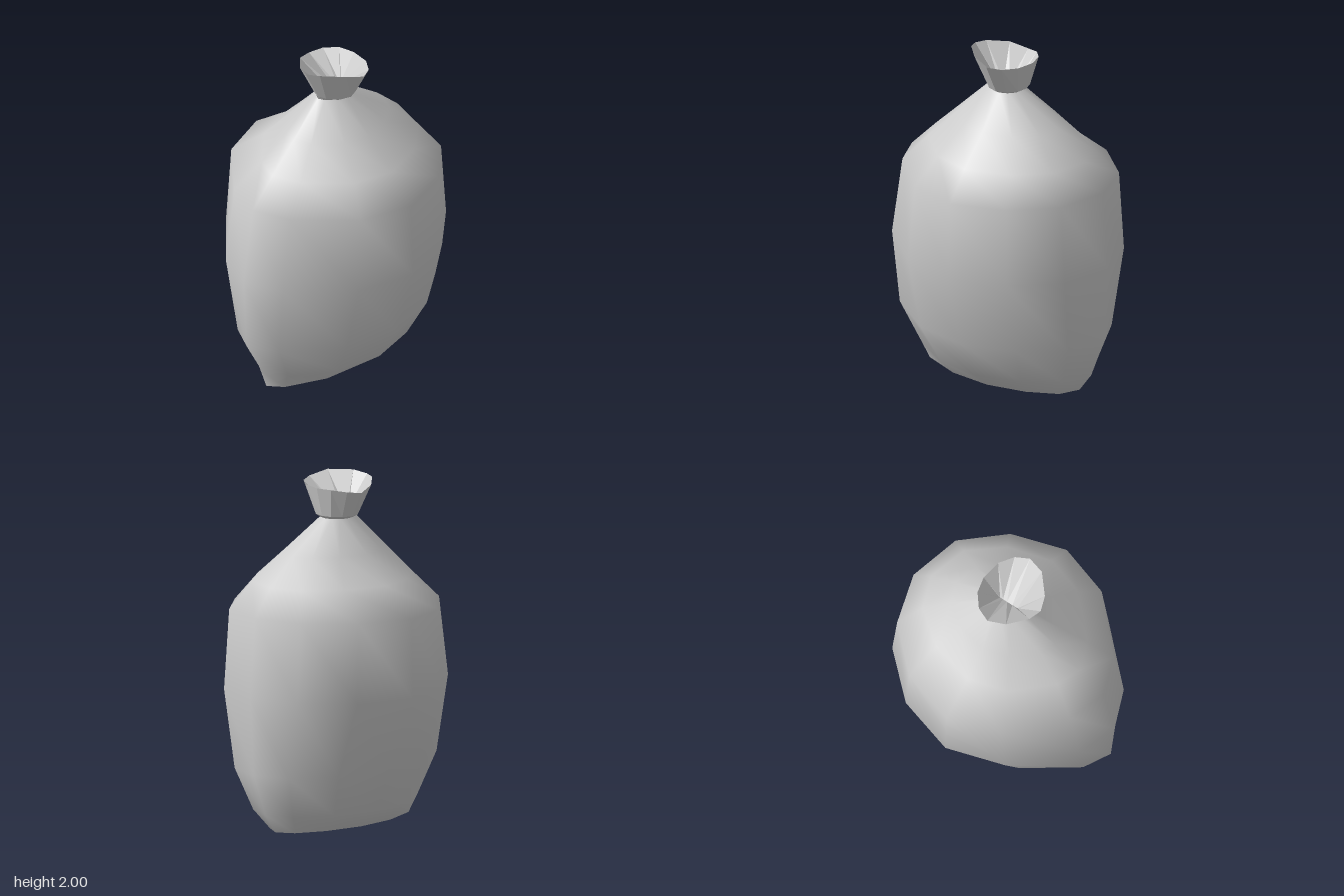
import * as THREE from 'three';

// Twelve-sided outline shared by every ring, starting at the back and passing +x, front, -x
const UX = [0, 0.5, 0.84, 1, 0.84, 0.36, 0, -0.36, -0.84, -1, -0.84, -0.47];
const UZ = [-1, -0.87, -0.5, 0, 0.46, 0.88, 1, 0.88, 0.46, 0, -0.5, -0.87];
const SIDES = UX.length;
const CZ = -0.03;

// One ring reaching from x0 to x1 and z0 to z1; y is a height or a list of heights
function ring(y, x0, x1, z0, z1) {
  return UX.map((ux, i) => [
    ux < 0 ? -ux * x0 : ux * x1,
    Array.isArray(y) ? y[i] : y,
    CZ + (UZ[i] < 0 ? -UZ[i] * (z0 - CZ) : UZ[i] * (z1 - CZ)),
  ]);
}

// Skin a stack of rings
function loft(name, rings, flat) {
  const index = [];
  for (let r = 0; r < rings.length - 1; r++) {
    for (let i = 0; i < SIDES; i++) {
      const j = (i + 1) % SIDES;
      const a = r * SIDES + i, b = r * SIDES + j;
      index.push(a, a + SIDES, b + SIDES, a, b + SIDES, b);
    }
  }
  let geometry = new THREE.BufferGeometry();
  geometry.setAttribute('position', new THREE.Float32BufferAttribute(rings.flat(2), 3));
  geometry.setIndex(index);
  if (flat) geometry = geometry.toNonIndexed();
  geometry.computeVertexNormals();
  const material = new THREE.MeshStandardMaterial({
    color: 0xcccccc, flatShading: flat, side: THREE.DoubleSide,
  });
  const mesh = new THREE.Mesh(geometry, material);
  mesh.name = name;
  return mesh;
}

export function createModel() {
  const group = new THREE.Group();
  group.name = 'tiedSack';

  // Bulging cloth body, narrow in x at the base and gathered at the neck
  const base = ring(0, -0.2, 0.23, -0.51, 0.52);
  group.add(loft('sackBody', [
    base,
    ring(0.11, -0.33, 0.36, -0.59, 0.55),
    ring(0.35, -0.43, 0.5, -0.68, 0.68),
    ring(0.8, -0.63, 0.63, -0.705, 0.705),
    ring(1.26, -0.62, 0.61, -0.67, 0.63),
    ring(1.42, -0.4, 0.46, -0.55, 0.47),
    ring(1.58, -0.25, 0.28, -0.38, 0.3),
    ring(1.77, -0.08, 0.1, -0.12, 0.1),
  ], false));

  // Flat patch the sack stands on
  group.add(loft('sackBottom', [ring(0, 0, 0, CZ, CZ), base], true));

  // Flared, uneven collar whose inside pinches to a slit
  const rimHeights = [1.95, 1.955, 1.96, 1.97, 2, 2, 1.985, 1.98, 1.96, 1.93, 1.94, 1.95];
  group.add(loft('collar', [
    ring(1.765, -0.08, 0.1, -0.12, 0.09),
    ring(1.785, -0.125, 0.135, -0.15, 0.1),
    ring(rimHeights, -0.2, 0.235, -0.19, 0.2),
    ring(1.79, 0, 0, -0.085, 0.05),
  ], true));

  return group;
}
